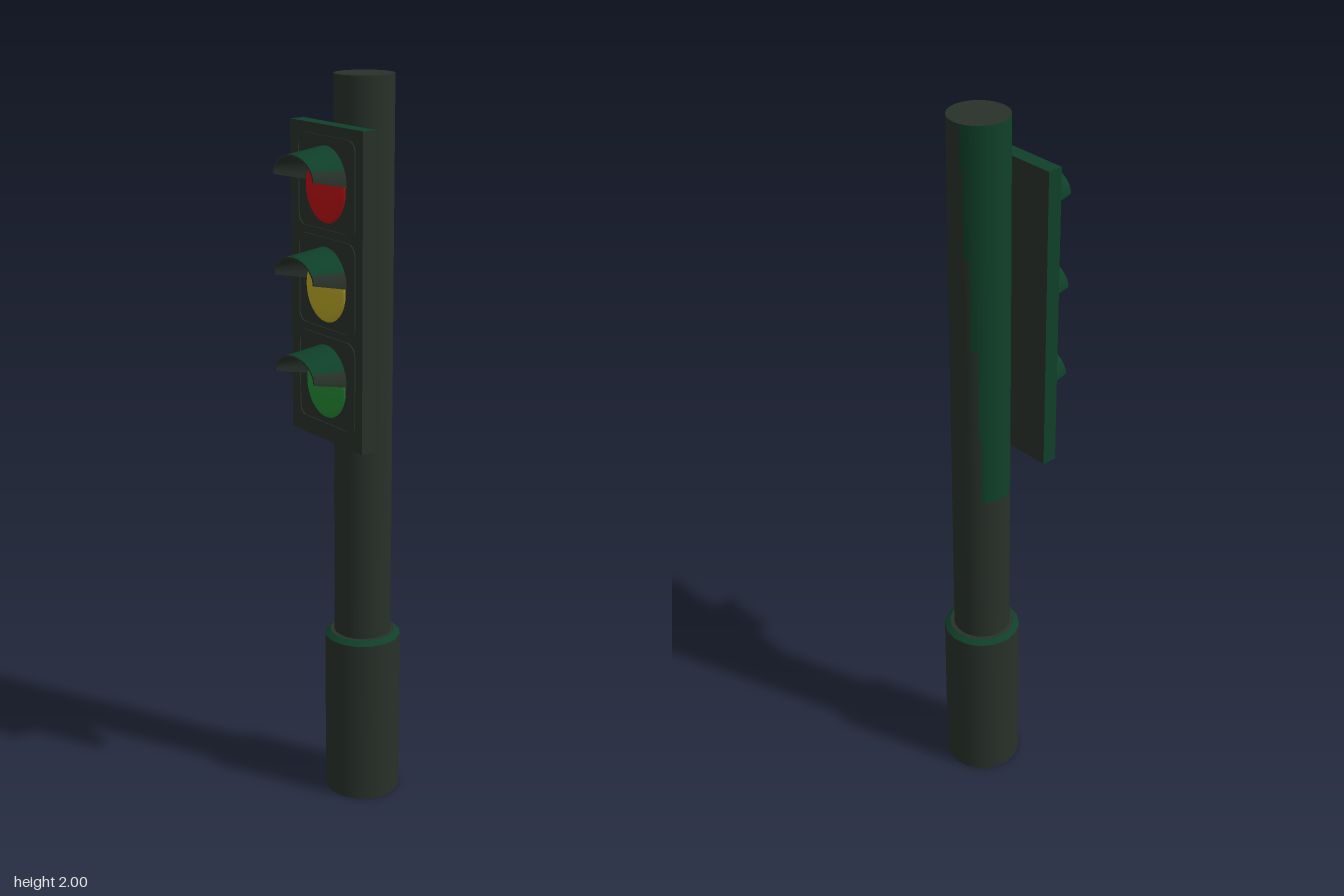
import * as THREE from 'three';

const POLE_Z = -0.058;
const rad = THREE.MathUtils.degToRad;

function material(name, color, side = THREE.FrontSide) {
  const m = new THREE.MeshStandardMaterial({ color, side });
  m.name = name;
  return m;
}

function add(parent, name, geometry, mat, x = 0, y = 0, z = 0) {
  const mesh = new THREE.Mesh(geometry, mat);
  mesh.name = name;
  mesh.position.set(x, y, z);
  parent.add(mesh);
  return mesh;
}

// Smooth surface from fn(u, v) -> [x, y, z]
function surface(fn, nu, nv) {
  const pos = [], idx = [];
  for (let j = 0; j <= nv; j++)
    for (let i = 0; i <= nu; i++) pos.push(...fn(i / nu, j / nv));
  for (let j = 0; j < nv; j++)
    for (let i = 0; i < nu; i++) {
      const a = j * (nu + 1) + i, b = a + nu + 1;
      idx.push(a, a + 1, b, a + 1, b + 1, b);
    }
  const g = new THREE.BufferGeometry();
  g.setAttribute('position', new THREE.Float32BufferAttribute(pos, 3));
  g.setIndex(idx);
  g.computeVertexNormals();
  return g;
}

function roundedRect(path, w, h, r) {
  path.moveTo(-w + r, -h);
  path.lineTo(w - r, -h);
  path.quadraticCurveTo(w, -h, w, -h + r);
  path.lineTo(w, h - r);
  path.quadraticCurveTo(w, h, w - r, h);
  path.lineTo(-w + r, h);
  path.quadraticCurveTo(-w, h, -w, h - r);
  path.lineTo(-w, -h + r);
  path.quadraticCurveTo(-w, -h, -w + r, -h);
  return path;
}

export function createModel() {
  const model = new THREE.Group();
  model.name = 'trafficLight';
  const dark = material('darkMetal', 0x28312a, THREE.DoubleSide);
  const green = material('greenPaint', 0x0f4029, THREE.DoubleSide);
  const lensMats = [
    material('redLens', 0xbc1214),
    material('yellowLens', 0xbca826),
    material('greenLens', 0x248c34),
  ];

  // Base sleeve with a bevelled, painted shoulder
  const pole = new THREE.Group();
  pole.name = 'pole';
  pole.position.z = POLE_Z;
  model.add(pole);
  add(pole, 'baseSleeve', new THREE.CylinderGeometry(0.105, 0.105, 0.47, 16), dark, 0, 0.235, 0);
  add(pole, 'baseShoulder', new THREE.CylinderGeometry(0.09, 0.105, 0.012, 16, 1, true), green, 0, 0.476, 0);
  add(pole, 'baseCollar', new THREE.RingGeometry(0.07, 0.09, 16).rotateX(-Math.PI / 2), dark, 0, 0.482, 0);

  // Pole shaft, with a painted stretch on one side that narrows downwards
  const band = (name, y0, y1, from, to, mat) => add(pole, name,
    new THREE.CylinderGeometry(0.078, 0.078, y1 - y0, Math.ceil((to - from) / 12), 1, true, rad(from), rad(to - from)),
    mat, 0, (y0 + y1) / 2, 0);
  band('lowerShaft', 0.47, 0.94, 0, 360, dark);
  const bands = [
    [0.94, 1.15, 230, 306], [1.15, 1.4, 225, 315],
    [1.4, 1.65, 210, 318], [1.65, 1.88, 198, 322], [1.88, 2, 192, 336],
  ];
  for (const [y0, y1, from, to] of bands) {
    band('shaftPaint', y0, y1, from, to, green);
    band('upperShaft', y0, y1, to, from + 360, dark);
  }
  add(pole, 'poleCap', new THREE.CircleGeometry(0.078, 30).rotateX(-Math.PI / 2), dark, 0, 2, 0);

  // Signal panel: painted on its top and one side
  add(model, 'signalPanel', new THREE.BoxGeometry(0.314, 0.825, 0.042),
    [dark, green, green, dark, dark, dark], 0, 1.4675, 0.041);

  // Shared light parts
  const rimShape = roundedRect(new THREE.Shape(), 0.127, 0.123, 0.035);
  rimShape.holes.push(roundedRect(new THREE.Path(), 0.117, 0.113, 0.03));
  const rimGeo = new THREE.ExtrudeGeometry(rimShape, { depth: 0.004, bevelEnabled: false, curveSegments: 6 });
  const lensGeo = new THREE.SphereGeometry(1, 32, 10, 0, Math.PI * 2, 0, Math.PI / 2)
    .rotateX(Math.PI / 2).scale(0.086, 0.09, 0.017);

  // Visor arc: flattens towards the tip; inset gives the inner skin
  const visorPoint = (deg, t, inset) => {
    const a = rad(deg);
    return [
      (0.09 - inset) * Math.cos(a),
      0.012 + 0.022 * t + (0.095 - 0.037 * t - inset) * Math.sin(a),
      0.06 + 0.103 * t,
    ];
  };
  const visorSkin = (a0, a1, inset) =>
    surface((u, v) => visorPoint(a1 + (a0 - a1) * u, 1 - v, inset), 18, 2);
  const visorParts = [
    ['visorTop', visorSkin(26, 180, 0), green],
    ['visorSide', visorSkin(0, 26, 0), dark],
    ['visorInside', visorSkin(0, 180, 0.005), dark],
    ['visorLip', surface((u, v) => visorPoint(180 * u, 1, 0.005 * v), 24, 1), dark],
  ];
  for (const deg of [0, 180])
    visorParts.push(['visorEdge', surface((u, v) => visorPoint(deg, u, 0.005 * v), 2, 1), dark]);

  // Three lights, top to bottom
  ['red', 'yellow', 'green'].forEach((colour, i) => {
    const light = new THREE.Group();
    light.name = colour + 'Light';
    light.position.y = 1.722 - 0.257 * i;
    model.add(light);
    add(light, 'rim', rimGeo, dark, 0, 0.008, 0.061);
    add(light, 'lens', lensGeo, lensMats[i], 0, 0, 0.061);
    for (const [name, geo, mat] of visorParts) add(light, name, geo, mat);
  });

  return model;
}
